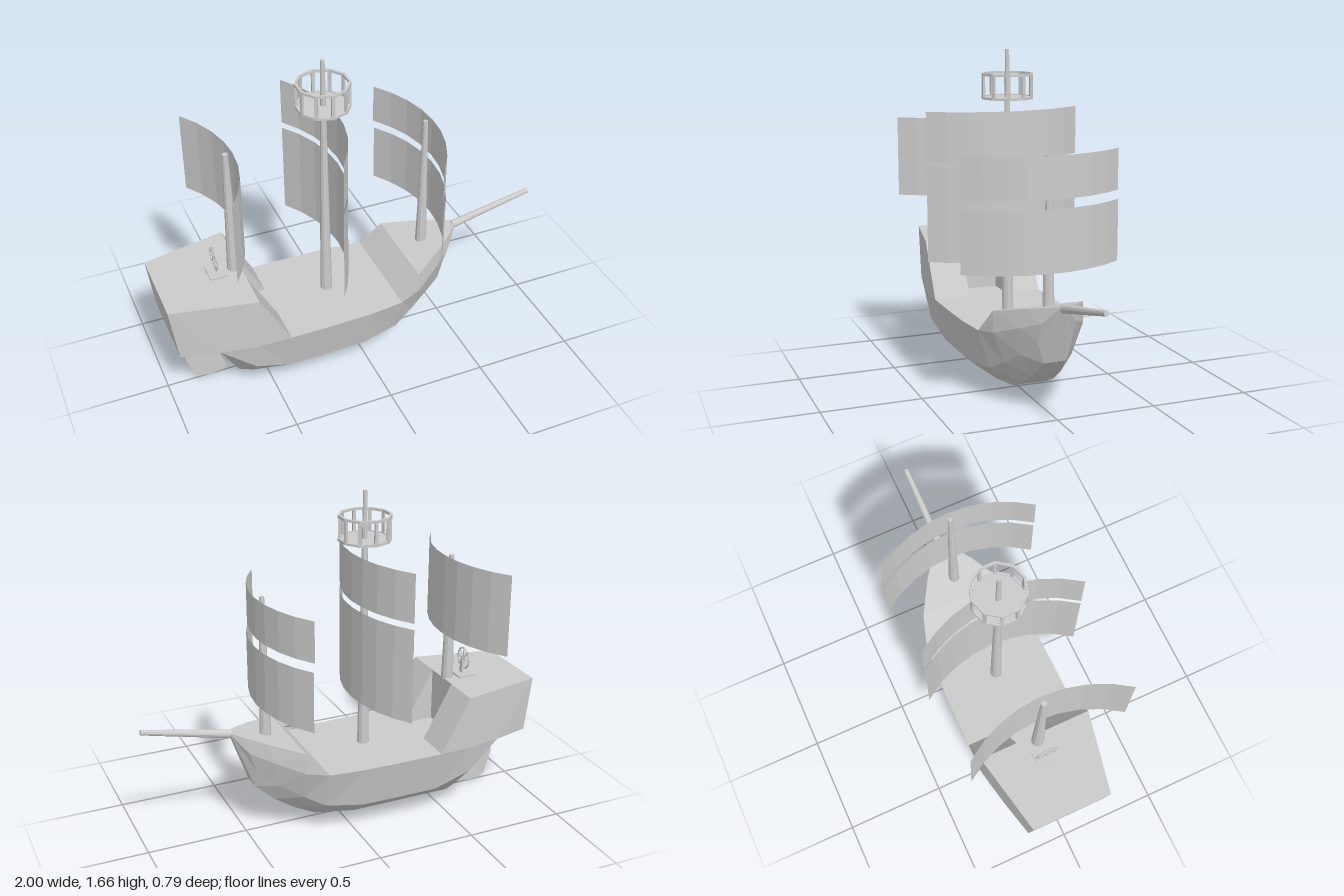
import * as THREE from 'three';

const grey = new THREE.MeshStandardMaterial({ color: 0xcccccc, flatShading: true });
const greyThin = new THREE.MeshStandardMaterial({ color: 0xcccccc, flatShading: true, side: THREE.DoubleSide });

function add(parent, name, geometry, x = 0, y = 0, z = 0, material = grey) {
  const mesh = new THREE.Mesh(geometry, material);
  mesh.name = name;
  mesh.position.set(x, y, z);
  parent.add(mesh);
  return mesh;
}

// Tapered round spar between two points
function spar(parent, name, from, to, r0, r1) {
  const a = new THREE.Vector3(...from), b = new THREE.Vector3(...to);
  const mesh = add(parent, name, new THREE.CylinderGeometry(r1, r0, a.distanceTo(b), 10));
  mesh.position.copy(a).add(b).multiplyScalar(0.5);
  mesh.quaternion.setFromUnitVectors(new THREE.Vector3(0, 1, 0), b.sub(a).normalize());
}

// Cross-sections from stern to bow: rail, side, chine, keel edge
const stations = [
  [[-1, 0.64, 0.205], [-0.965, 0.36, 0.205], [-0.965, 0.36, 0.205], [-0.965, 0.36, 0.06]],
  [[-0.78, 0.64, 0.25], [-0.78, 0.36, 0.25], [-0.78, 0.36, 0.25], [-0.78, 0.36, 0.06]],
  [[-0.585, 0.64, 0.29], [-0.6, 0.365, 0.287], [-0.61, 0.215, 0.26], [-0.65, 0.05, 0.075]],
  [[-0.435, 0.365, 0.29], [-0.435, 0.365, 0.29], [-0.435, 0.145, 0.24], [-0.58, 0.035, 0.095]],
  [[-0.23, 0.365, 0.29], [-0.23, 0.365, 0.29], [-0.23, 0.145, 0.24], [-0.3, 0.035, 0.095]],
  [[-0.02, 0.365, 0.285], [-0.02, 0.365, 0.285], [-0.03, 0.145, 0.235], [-0.05, 0.035, 0.095]],
  [[0.16, 0.365, 0.265], [0.16, 0.365, 0.265], [0.155, 0.17, 0.21], [0.165, 0.07, 0.09]],
  [[0.265, 0.485, 0.23], [0.27, 0.38, 0.23], [0.26, 0.225, 0.175], [0.27, 0.12, 0.08]],
  [[0.43, 0.527, 0.13], [0.4, 0.43, 0.155], [0.37, 0.29, 0.13], [0.37, 0.185, 0.07]],
  [[0.51, 0.547, 0.07], [0.5, 0.47, 0.085], [0.465, 0.37, 0.085], [0.465, 0.27, 0.055]],
  [[0.568, 0.56, 0.02], [0.568, 0.555, 0.02], [0.567, 0.55, 0.02], [0.566, 0.545, 0.02]],
];

function hullGeometry() {
  const pos = [];
  const tri = (a, b, c) => {
    const [p, q, r] = [a, b, c].map((v) => new THREE.Vector3(...v));
    if (q.sub(p).cross(r.sub(p)).length() > 1e-7) pos.push(...a, ...b, ...c);
  };
  const quad = (a, b, c, d) => { tri(a, b, c); tri(a, c, d); };
  const flip = ([x, y, z]) => [x, y, -z];
  const both = (a, b, c, d) => { quad(a, b, c, d); quad(...[c, b, a, d].map(flip)); };
  const across = (a, b) => quad(a, b, flip(b), flip(a));

  for (let j = 0; j < stations.length - 1; j++) {
    const s = stations[j], n = stations[j + 1];
    for (let i = 0; i < 3; i++) both(n[i + 1], n[i], s[i], s[i + 1]);
    across(n[3], s[3]);
    if (j !== 2) across(s[0], n[0]);
  }
  // Transom and stem ends
  const end = stations.length - 1;
  for (let i = 0; i < 3; i++) {
    across(stations[0][i + 1], stations[0][i]);
    across(stations[end][i], stations[end][i + 1]);
  }
  // Sloping front of the aft castle, with an open recess in the middle
  const w = 0.1, top = stations[2][0], foot = stations[3][0];
  const topIn = [top[0], top[1], w], footIn = [foot[0], foot[1], w], low = [top[0], foot[1], w];
  both(top, foot, footIn, topIn);
  both(low, topIn, footIn, footIn);
  across(topIn, low);
  across(low, footIn);

  const g = new THREE.BufferGeometry();
  g.setAttribute('position', new THREE.Float32BufferAttribute(pos, 3));
  g.computeVertexNormals();
  return g;
}

// Sail bent to an arc that bulges towards the bow
function sail(parent, name, frontX, y0, y1) {
  const R = 0.653, half = 0.65;
  const g = new THREE.CylinderGeometry(R, R, y1 - y0, 8, 1, true, Math.PI / 2 - half, half * 2);
  add(parent, name, g, frontX - R, (y0 + y1) / 2, 0, greyThin);
}

function crowsNest() {
  const nest = new THREE.Group();
  nest.name = 'crowsNest';
  const R = 0.13, H = 0.125;
  add(nest, 'nestFloor', new THREE.CylinderGeometry(R - 0.004, R - 0.004, 0.006, 10), 0, 0.005, 0);
  const band = [[R - 0.012, 0], [R, 0], [R, 0.012], [R - 0.012, 0.012], [R - 0.012, 0]]
    .map((p) => new THREE.Vector2(...p));
  for (const y of [0, H - 0.012]) add(nest, 'nestRail', new THREE.LatheGeometry(band, 10), 0, y, 0);
  for (let i = 0; i < 10; i++) {
    const a = (i / 10) * Math.PI * 2;
    const post = add(nest, 'nestPost', new THREE.BoxGeometry(0.016, H - 0.01, 0.011),
      Math.sin(a) * (R - 0.008), H / 2, Math.cos(a) * (R - 0.008));
    post.rotation.y = a;
  }
  nest.position.set(-0.14, 1.426, 0);
  return nest;
}

function helm() {
  const group = new THREE.Group();
  group.name = 'helm';
  add(group, 'helmBase', new THREE.BoxGeometry(0.09, 0.008, 0.11), 0, 0.004, 0);
  add(group, 'helmPost', new THREE.BoxGeometry(0.01, 0.08, 0.02), 0.003, 0.04, 0);
  const wheel = new THREE.Group();
  wheel.name = 'steeringWheel';
  wheel.position.set(-0.006, 0.085, 0);
  add(wheel, 'wheelRim', new THREE.TorusGeometry(0.053, 0.004, 6, 16)).rotation.y = Math.PI / 2;
  add(wheel, 'wheelHub', new THREE.CylinderGeometry(0.01, 0.01, 0.012, 8)).rotation.z = Math.PI / 2;
  for (let i = 0; i < 4; i++) {
    add(wheel, 'wheelSpoke', new THREE.CylinderGeometry(0.003, 0.003, 0.128, 6)).rotation.x = (i * Math.PI) / 4;
  }
  group.add(wheel);
  group.position.set(-0.702, 0.64, 0);
  return group;
}

function rudderGeometry() {
  const outline = [[-0.835, 0.37], [-0.812, 0.275], [-0.86, 0.265], [-0.9, 0.215], [-0.9, 0.15], [-0.86, 0.025],
    [-0.83, 0.01], [-0.78, 0], [-0.715, 0.012], [-0.692, 0.04], [-0.81, 0.37]];
  const shape = new THREE.Shape(outline.map((p) => new THREE.Vector2(...p)));
  return new THREE.ExtrudeGeometry(shape, { depth: 0.012, bevelEnabled: false }).translate(0, 0, -0.006);
}

export function createModel() {
  const ship = new THREE.Group();
  ship.name = 'sailingShip';

  add(ship, 'hull', hullGeometry());
  add(ship, 'rudder', rudderGeometry());
  spar(ship, 'bowsprit', [0.563, 0.55, 0], [0.997, 0.645, 0], 0.021, 0.013);

  // Masts
  spar(ship, 'aftMast', [-0.615, 0.63, 0], [-0.615, 1.29, 0], 0.032, 0.014);
  spar(ship, 'mainMast', [-0.14, 0.355, 0], [-0.14, 1.665, 0], 0.03, 0.01);
  spar(ship, 'foreMast', [0.385, 0.5, 0], [0.385, 1.22, 0], 0.029, 0.012);

  // Sails
  sail(ship, 'aftSail', -0.58, 0.88, 1.29);
  sail(ship, 'mainLowerSail', -0.072, 0.627, 1.1);
  sail(ship, 'mainUpperSail', -0.072, 1.13, 1.37);
  sail(ship, 'foreLowerSail', 0.427, 0.678, 0.977);
  sail(ship, 'foreUpperSail', 0.421, 1.02, 1.22);

  ship.add(crowsNest(), helm());
  return ship;
}
